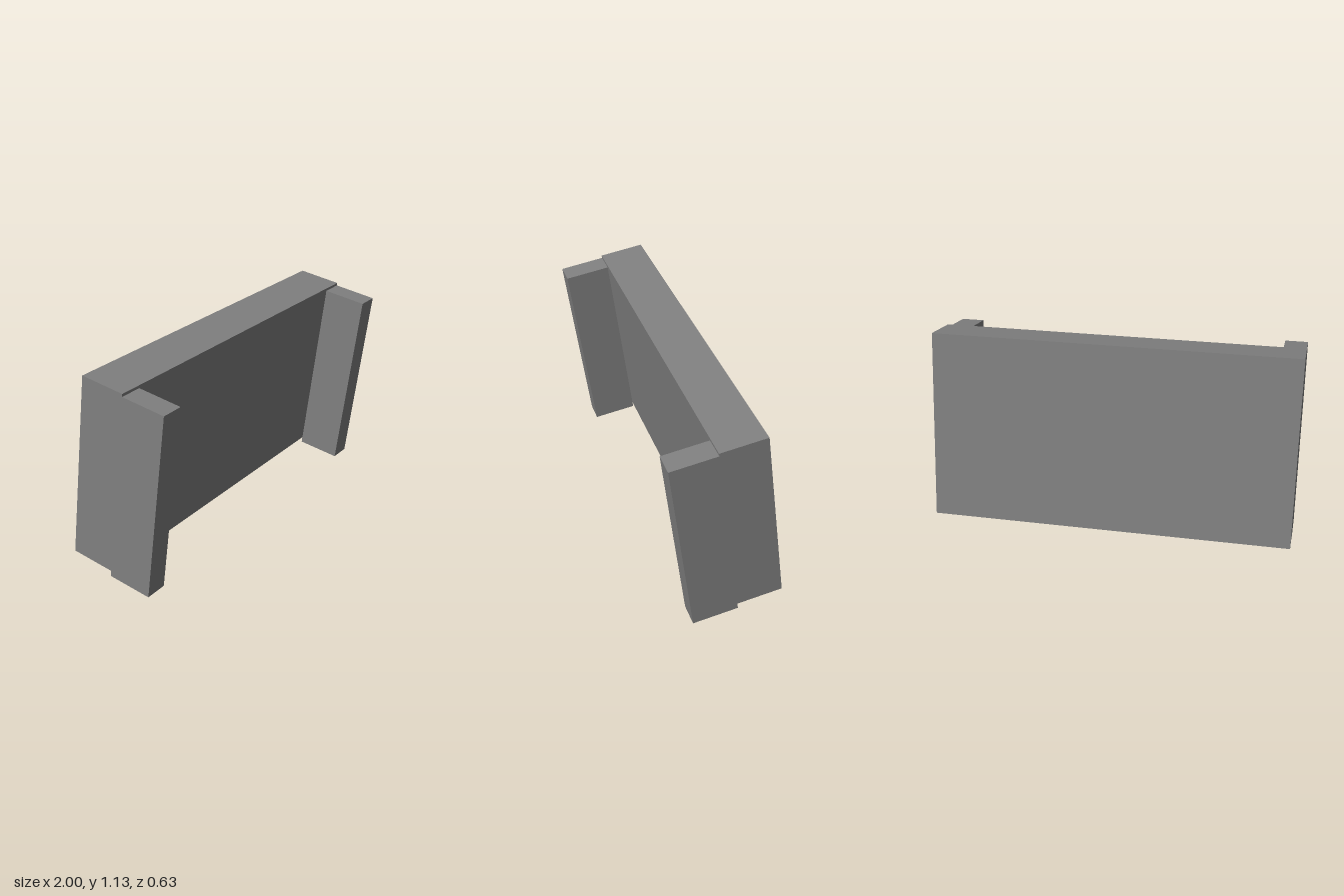
import * as THREE from 'three';

export function createModel() {
  const model = new THREE.Group();
  const grey = new THREE.MeshStandardMaterial({ color: 0x808080, flatShading: true });
  grey.name = 'grey';

  // Whole assembly leans forward at the top
  const body = new THREE.Group();
  body.name = 'leaningPanel';
  body.rotation.x = THREE.MathUtils.degToRad(7.5);
  body.position.set(0, 0.572, 0);
  model.add(body);

  const addBox = (name, w, h, d, x, y, z) => {
    const mesh = new THREE.Mesh(new THREE.BoxGeometry(w, h, d), grey);
    mesh.name = name;
    mesh.position.set(x, y, z);
    body.add(mesh);
  };

  // Wide back slab
  addBox('backSlab', 2, 1.045, 0.25, 0, 0.0125, -0.125);

  // Side posts, set slightly lower than the slab
  for (const [name, side] of [['leftPost', 1], ['rightPost', -1]]) {
    addBox(name, 0.125, 1.062, 0.25, side * 0.9375, -0.012, 0.125);
  }
  return model;
}
